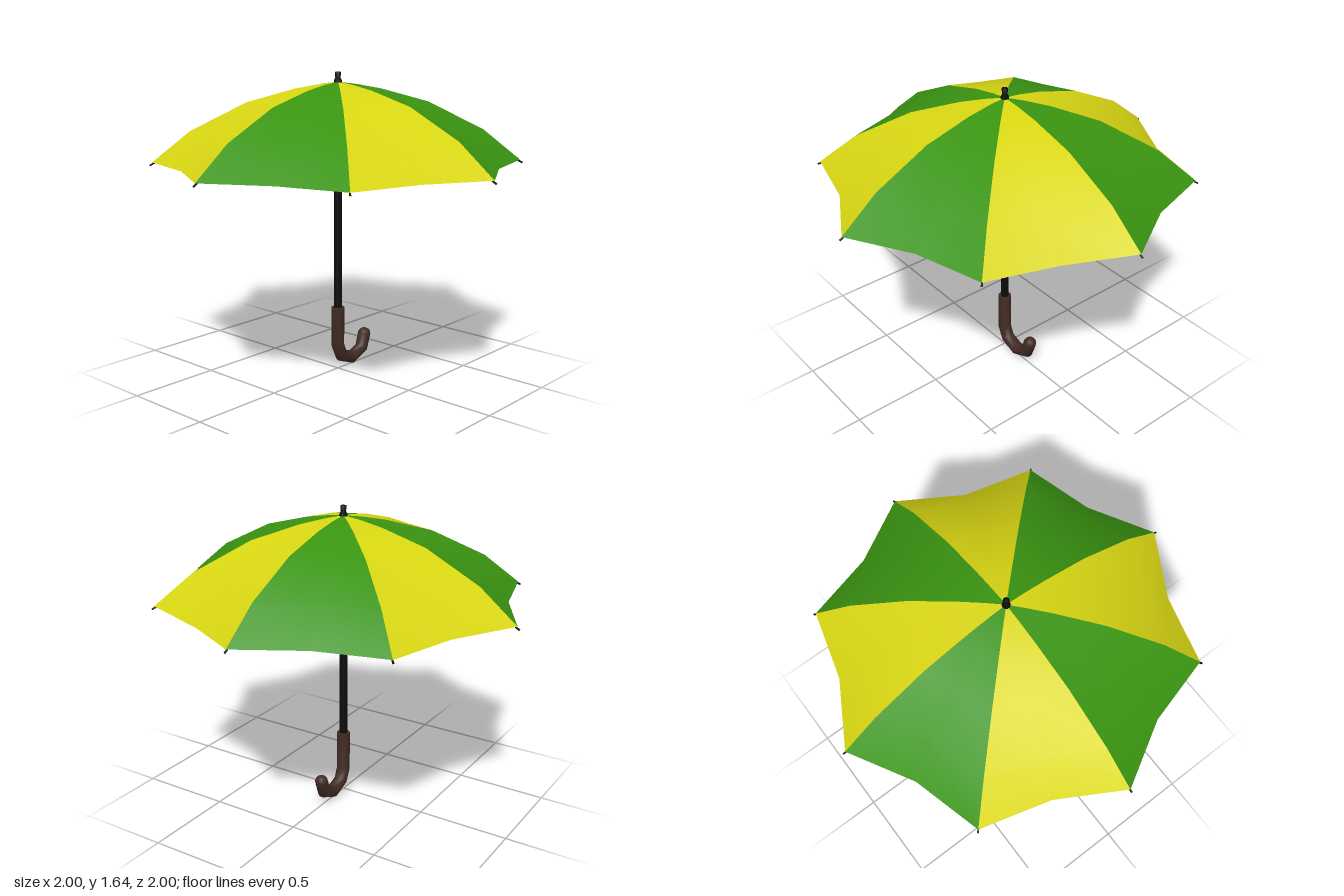
import * as THREE from 'three';

// Curve sampled exactly at its points, so bends stay angular
class PolyCurve extends THREE.Curve {
  constructor(points) { super(); this.points = points; }
  index(t) { return Math.round(t * (this.points.length - 1)); }
  getPoint(t, target = new THREE.Vector3()) { return target.copy(this.points[this.index(t)]); }
  getPointAt(t, target) { return this.getPoint(t, target); }
  getTangentAt(t, target = new THREE.Vector3()) {
    const p = this.points, i = this.index(t), d = (a, b) => b.clone().sub(a).normalize();
    target.set(0, 0, 0);
    if (i > 0) target.add(d(p[i - 1], p[i]));
    if (i < p.length - 1) target.add(d(p[i], p[i + 1]));
    return target.normalize();
  }
}

// Rib profile as [radius, height], crown to tip
const PROFILE = [[0, 1.592], [0.1, 1.58], [0.23, 1.556], [0.48, 1.487], [0.78, 1.337], [0.985, 1.172]];
const PANELS = 8;

function polar(radius, y, angle) {
  return new THREE.Vector3(radius * Math.cos(angle), y, radius * Math.sin(angle));
}

function tube(points, radius, sides) {
  return new THREE.TubeGeometry(new PolyCurve(points), points.length - 1, radius, sides, false);
}

// Cloth wedge between two ribs, sagging inward along its middle
function panelGeometry(start, drop) {
  const step = Math.PI * 2 / PANELS, pos = [], index = [];
  PROFILE.forEach(([r, y], row) => {
    const t = r / 0.985;
    for (let c = 0; c < 3; c++) {
      const mid = c === 1;
      const p = polar(r * (mid ? 0.924 - 0.048 * t * t : 1), y - (mid ? drop * t * t : 0), start + c * step / 2);
      pos.push(p.x, p.y, p.z);
    }
    if (row === 0) return;
    for (let c = 0; c < 2; c++) {
      const a = (row - 1) * 3 + c, b = a + 3;
      if (row > 1) index.push(a, a + 1, b);
      index.push(a + 1, b + 1, b);
    }
  });
  const g = new THREE.BufferGeometry();
  g.setAttribute('position', new THREE.Float32BufferAttribute(pos, 3));
  g.setIndex(index);
  g.computeVertexNormals();
  return g;
}

export function createModel() {
  const model = new THREE.Group();
  model.name = 'umbrella';
  const material = (name, color, side = THREE.FrontSide) => {
    const m = new THREE.MeshStandardMaterial({ color, side });
    m.name = name;
    return m;
  };
  const yellow = material('yellow cloth', 0xd8d612, THREE.DoubleSide);
  const green = material('green cloth', 0x3a9411, THREE.DoubleSide);
  const black = material('black metal', 0x0d0d0e);
  const brown = material('brown handle', 0x412b23);
  const add = (name, geometry, mat, parent = model) => {
    const mesh = new THREE.Mesh(geometry, mat);
    mesh.name = name;
    parent.add(mesh);
    return mesh;
  };

  // Canopy panels and the ribs under their seams
  const canopy = new THREE.Group(), ribs = new THREE.Group();
  canopy.name = 'canopy';
  ribs.name = 'ribs';
  model.add(canopy, ribs);
  for (let i = 0; i < PANELS; i++) {
    const angle = i * Math.PI * 2 / PANELS;
    add('panel', panelGeometry(angle, i === 0 ? 0.02 : 0), i % 2 ? green : yellow, canopy);
    const path = PROFILE.slice(1).map(([r, y]) => polar(r - 0.003, y - 0.008, angle));
    path.unshift(polar(0.01, 1.575, angle));
    path.push(polar(0.998, 1.156, angle));
    add('rib', tube(path, 0.005, 6), black, ribs);
  }

  // Shaft with the hub the ribs meet at
  const shaft = add('shaft', new THREE.CylinderGeometry(0.022, 0.022, 1.24, 12), black);
  shaft.position.y = 0.96;
  const hub = add('hub', new THREE.CylinderGeometry(0.032, 0.032, 0.035, 12), black);
  hub.position.y = 1.55;

  // Ferrule on top
  const ferrule = [[0.023, 1.575], [0.021, 1.6], [0.014, 1.612], [0.016, 1.643], [0, 1.645]];
  add('ferrule', new THREE.LatheGeometry(ferrule.map(p => new THREE.Vector2(...p)), 10), black);

  // Hooked handle with a capped top and a rounded end
  const hook = [[0, 0.36], [0, 0.14], [0.03, 0.073], [0.115, 0.041], [0.2, 0.078], [0.225, 0.155]]
    .map(([x, y]) => new THREE.Vector3(x, y, 0));
  add('handle', tube(hook, 0.036, 12), brown);
  const cap = add('handleTop', new THREE.CircleGeometry(0.036, 12), brown);
  cap.rotation.x = -Math.PI / 2;
  cap.position.y = 0.36;
  const end = add('handleEnd', new THREE.SphereGeometry(0.036, 12, 8), brown);
  end.position.copy(hook[5]);
  end.scale.y = 0.9;

  return model;
}
